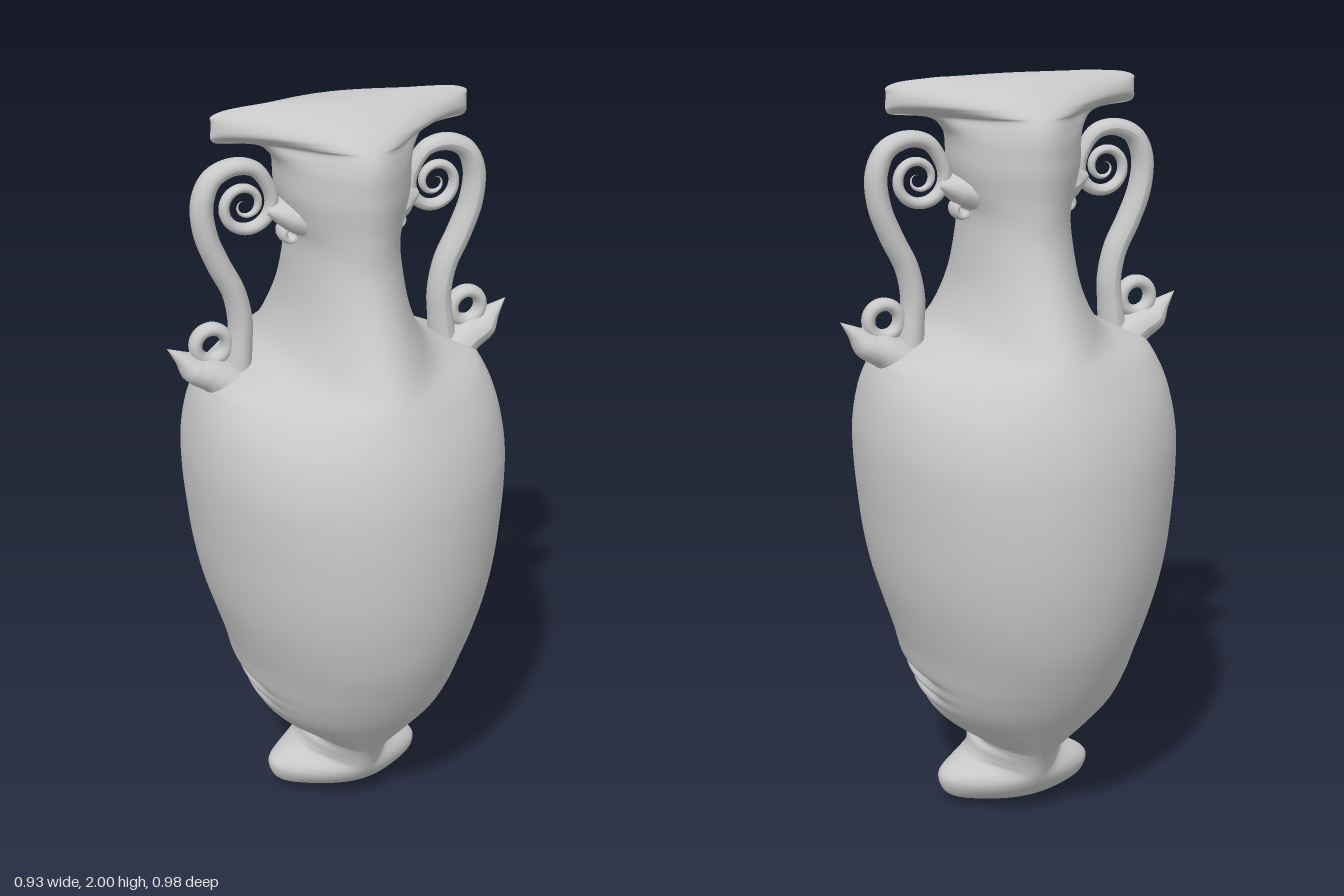
import * as THREE from 'three';

const stone = new THREE.MeshStandardMaterial({ color: 0xc8c8c8 });
stone.name = 'pale grey stone';

// Half depth of the body at every 0.1 of height
const DEPTH = [0, 0.17, 0.215, 0.285, 0.353, 0.405, 0.445, 0.47, 0.485, 0.49, 0.487,
  0.475, 0.447, 0.398, 0.328, 0.268, 0.232, 0.226, 0.232, 0.216, 0];

// Half width, height, and how far the section pinches into side points
const PROFILE = [
  [0.07, 0, 0.15], [0.16, 0.016, 0.2], [0.2, 0.035, 0.25], [0.218, 0.07, 0.3], [0.205, 0.105, 0.4],
  [0.15, 0.135, 0.4], [0.13, 0.155, 0.3], [0.122, 0.18, 0.2], [0.112, 0.2, 0.1], [0.125, 0.217, 0.15],
  [0.175, 0.25, 0.15], [0.225, 0.295, 0.08], [0.268, 0.36, 0], [0.3, 0.44, 0], [0.32, 0.52, 0],
  [0.345, 0.6, 0], [0.375, 0.7, 0], [0.395, 0.8, 0], [0.407, 0.9, 0], [0.416, 1, 0], [0.417, 1.1, 0],
  [0.402, 1.2, 0.04], [0.375, 1.275, 0.15], [0.345, 1.31, 0.25], [0.285, 1.335, 0.28], [0.24, 1.355, 0.22],
  [0.19, 1.4, 0.1], [0.153, 1.48, 0.03], [0.135, 1.58, 0], [0.13, 1.66, 0.03], [0.148, 1.72, 0.1],
  [0.165, 1.78, 0.15], [0.17, 1.84, 0.2], [0.19, 1.88, 0.4], [0.23, 1.905, 0.7],
  [0.32, 1.915, 1], [0.333, 1.925, 0.85], [0.333, 1.945, 0.6], [0.332, 1.965, 0.55], [0.33, 1.982, 0.65],
  [0.3, 1.992, 0.7], [0.2, 2, 0.6],
];

// Interpolates squared depth, which rounds off both ends
function depthAt(y) {
  const f = THREE.MathUtils.clamp(y, 0, 2) * 10;
  const i = Math.min(19, Math.floor(f)), t = f - i;
  const p = k => (k < 0 ? -(DEPTH[1] ** 2) : k > 20 ? -(DEPTH[19] ** 2) : DEPTH[k] ** 2);
  const [a, b, c, d] = [p(i - 1), p(i), p(i + 1), p(i + 2)];
  const sq = b + 0.5 * t * (c - a + t * (2 * a - 5 * b + 4 * c - d + t * (3 * (b - c) + d - a)));
  return Math.sqrt(Math.max(0, sq));
}

// Short worn grooves low on both flanks
function groove(y) {
  return [[0.425, 0.026], [0.38, 0.026], [0.335, 0.008]]
    .reduce((sum, [h, a]) => sum + a * Math.exp(-(((y - h) / 0.013) ** 2)), 0);
}

// Loft of pinched ellipses, closed by a ridge at the top and bottom
function bodyGeometry() {
  const curve = new THREE.CatmullRomCurve3(PROFILE.map(p => new THREE.Vector3(...p)));
  const rows = (PROFILE.length - 1) * 8, cols = 112, pos = [], index = [];
  for (let i = 0; i <= rows; i++) {
    const { x: w, y, z: pinch } = curve.getPoint(i / rows);
    const d = i === rows || i === 0 ? 0 : depthAt(y);
    for (let j = 0; j < cols; j++) {
      const t = (j / cols) * Math.PI * 2, c = Math.cos(t), s = Math.sin(t);
      const x = c * (w - groove(y) * c ** 14);
      const z = d * Math.sign(s) * ((1 - pinch) * Math.abs(s) + pinch * Math.abs(s) ** 5);
      pos.push(x, y, z);
      if (i === rows) continue;
      const a = i * cols + j, b = i * cols + (j + 1) % cols;
      index.push(a, a + cols, b, b, a + cols, b + cols);
    }
  }
  const g = new THREE.BufferGeometry();
  g.setAttribute('position', new THREE.Float32BufferAttribute(pos, 3));
  g.setIndex(index);
  g.computeVertexNormals();
  return g;
}

// Tube along a flat path, its radius interpolated from a list and widened in z
function taperedTube(points, radii, widen, segments) {
  const curve = new THREE.CatmullRomCurve3(points.map(([x, y]) => new THREE.Vector3(x, y, 0)));
  const sides = 16, g = new THREE.TubeGeometry(curve, segments, 1, sides);
  const p = g.attributes.position, v = new THREE.Vector3();
  for (let i = 0; i <= segments; i++) {
    const centre = curve.getPointAt(i / segments);
    const f = (i / segments) * (radii.length - 1), k = Math.min(radii.length - 2, Math.floor(f));
    const r = THREE.MathUtils.lerp(radii[k], radii[k + 1], f - k);
    for (let j = 0; j <= sides; j++) {
      const n = i * (sides + 1) + j;
      v.fromBufferAttribute(p, n).sub(centre).multiplyScalar(r);
      v.z *= widen;
      v.add(centre);
      p.setXYZ(n, v.x, v.y, v.z);
    }
  }
  g.computeVertexNormals();
  return g;
}

function part(name, geometry, x = 0, y = 0) {
  const m = new THREE.Mesh(geometry, stone);
  m.name = name;
  m.position.set(x, y, 0);
  return m;
}

function handle(side) {
  const group = new THREE.Group();
  group.name = side > 0 ? 'leftHandle' : 'rightHandle';

  // S-shaped stem rising from the shoulder and rolling into a scroll
  const path = [[0.285, 1.31], [0.277, 1.38], [0.272, 1.45], [0.287, 1.53], [0.325, 1.61], [0.355, 1.69],
    [0.361, 1.77], [0.335, 1.828], [0.28, 1.852], [0.225, 1.84]];
  for (let i = 0; i <= 22; i++) {
    const a = Math.PI * (0.86 + i / 6), r = 0.072 * (1 - i / 25);
    path.push([0.253 + r * Math.cos(a), 1.752 + r * Math.sin(a)]);
  }
  const radii = [0.036, 0.031, 0.03, 0.03, 0.029, 0.027, 0.022, 0.018, 0.016, 0.014, 0.012, 0.009, 0];
  group.add(part('scrollStem', taperedTube(path, radii, 1.35, 240)));

  // Curl and pointed leaf at the foot of the stem
  const curl = part('leafCurl', new THREE.TorusGeometry(0.041, 0.017, 14, 36), 0.35, 1.4);
  curl.scale.z = 1.4;
  group.add(curl);
  group.add(part('leaf', taperedTube(
    [[0.29, 1.28], [0.35, 1.32], [0.395, 1.34], [0.425, 1.37], [0.465, 1.405]],
    [0.06, 0.052, 0.044, 0.036, 0.017, 0], 1.4, 40)));
  group.add(part('leafBud', taperedTube(
    [[0.385, 1.33], [0.4, 1.36], [0.405, 1.395]], [0.025, 0.018, 0], 1.2, 16)));

  // Little curl and swelling tying the scroll to the neck
  const tie = part('neckCurl', new THREE.TorusGeometry(0.017, 0.011, 12, 28), 0.142, 1.67);
  tie.scale.z = 3;
  group.add(tie);
  group.add(part('neckTie', taperedTube([[0.1, 1.715], [0.15, 1.725], [0.2, 1.735]], [0.06, 0.042, 0.012], 2, 20)));

  if (side < 0) group.rotation.y = Math.PI;
  return group;
}

export function createModel() {
  const model = new THREE.Group();
  model.name = 'vase';
  model.add(part('body', bodyGeometry()), handle(1), handle(-1));
  return model;
}
